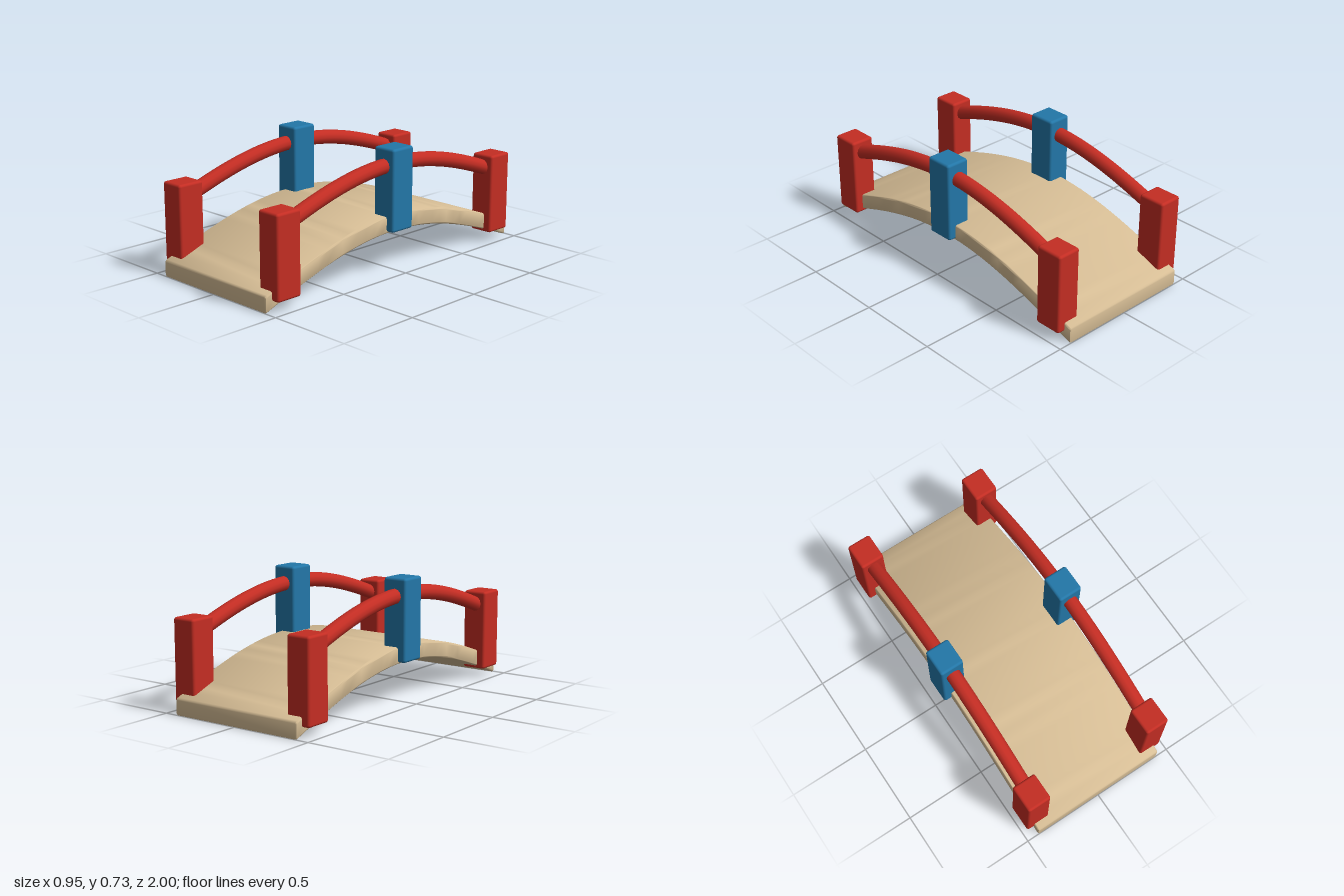
import * as THREE from 'three';
import { toCreasedNormals } from 'three/addons/utils/BufferGeometryUtils.js';
import { RoundedBoxGeometry } from 'three/addons/geometries/RoundedBoxGeometry.js';

const RISE = 0.24;
const arch = (z) => RISE * Math.cos((z * Math.PI) / 2);

function roundedRect(w, h, r) {
  const s = new THREE.Shape();
  s.absarc(w / 2 - r, h - r, r, 0, Math.PI / 2);
  s.absarc(-w / 2 + r, h - r, r, Math.PI / 2, Math.PI);
  s.absarc(-w / 2 + r, r, r, Math.PI, Math.PI * 1.5);
  s.absarc(w / 2 - r, r, r, Math.PI * 1.5, Math.PI * 2);
  s.closePath();
  return s;
}

// Softened slab, lifted into an arch along z
function deckGeometry() {
  const bevel = 0.01;
  const geo = new THREE.ExtrudeGeometry(roundedRect(0.854, 0.1, 0.014), {
    depth: 2 - 2 * bevel, steps: 32, curveSegments: 3,
    bevelThickness: bevel, bevelSize: bevel, bevelOffset: -bevel, bevelSegments: 2,
  });
  geo.translate(0, 0, -1 + bevel);
  const p = geo.attributes.position;
  for (let i = 0; i < p.count; i++) p.setY(i, p.getY(i) + arch(p.getZ(i)));
  return toCreasedNormals(geo, 0.7);
}

export function createModel() {
  const wood = new THREE.MeshStandardMaterial({ color: 0xd6bd95 });
  wood.name = 'wood';
  const red = new THREE.MeshStandardMaterial({ color: 0xc42d23 });
  red.name = 'red';
  const blue = new THREE.MeshStandardMaterial({ color: 0x2377a8 });
  blue.name = 'blue';

  const model = new THREE.Group();
  model.name = 'archedBridge';
  const add = (name, geo, mat, x = 0, y = 0, z = 0) => {
    const mesh = new THREE.Mesh(geo, mat);
    mesh.name = name;
    mesh.position.set(x, y, z);
    model.add(mesh);
  };

  add('deck', deckGeometry(), wood);

  // Handrail follows the deck's arch and ends inside the end posts
  const points = [];
  for (let i = 0; i <= 16; i++) {
    const z = -0.87 + (1.74 * i) / 16;
    points.push(new THREE.Vector3(0, 0.39 + arch(z), z));
  }
  const railGeo = new THREE.TubeGeometry(new THREE.CatmullRomCurve3(points), 32, 0.044, 12);
  const postGeo = new RoundedBoxGeometry(0.148, 0.482, 0.167, 3, 0.015);

  for (const [side, x] of [['left', 0.4], ['right', -0.4]]) {
    add(side + 'Handrail', railGeo, red, x);
    add(side + 'MiddlePost', postGeo, blue, x, 0.491, 0);
    add(side + 'FrontPost', postGeo, red, x, 0.302, 0.872);
    add(side + 'BackPost', postGeo, red, x, 0.302, -0.872);
  }
  return model;
}
